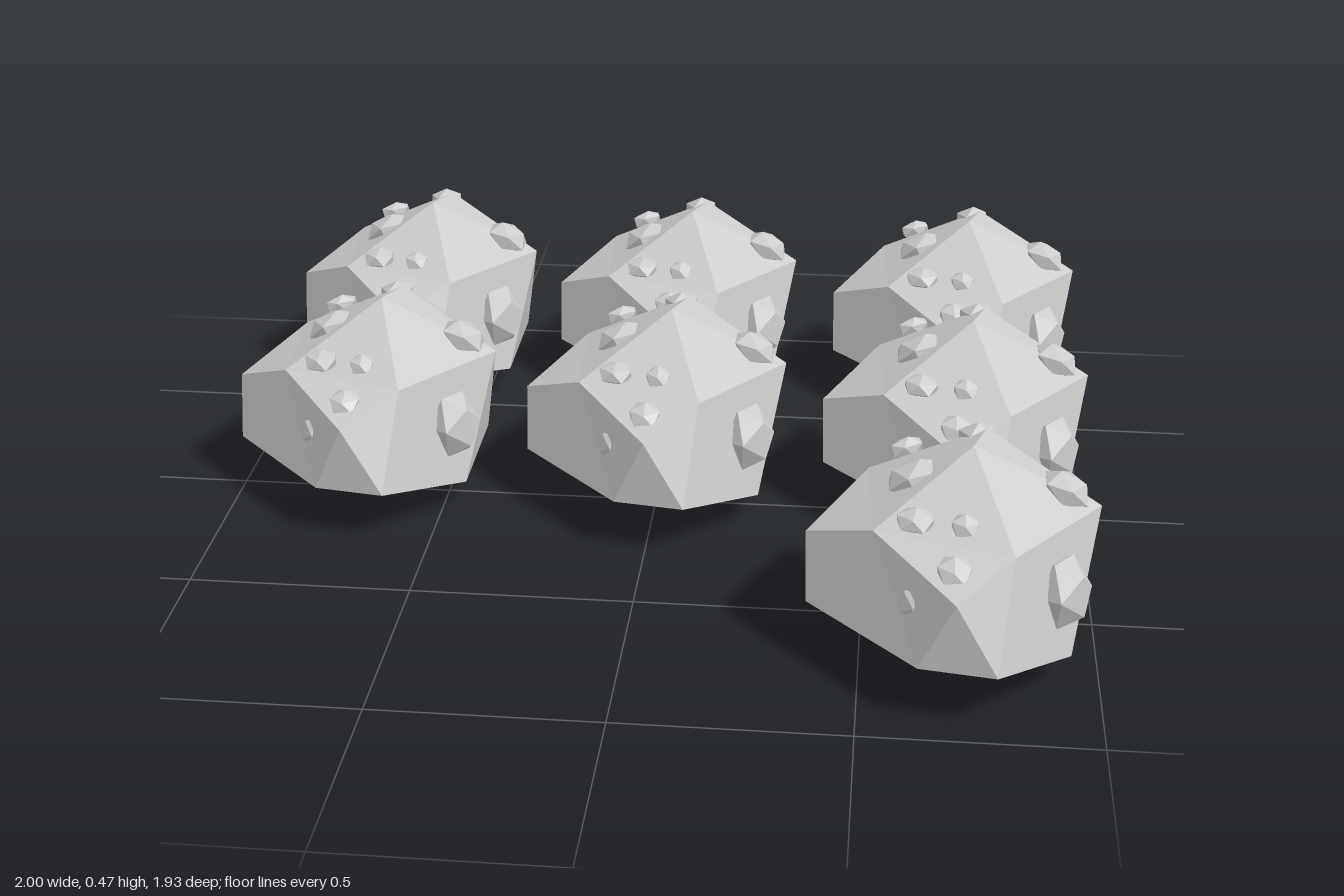
import * as THREE from 'three';

const material = new THREE.MeshStandardMaterial({ color: 0xcccccc, flatShading: true });

// Boulder corners, relative to the point it rests on
const corners = {
  base: [0, 0, 0], top: [0, 0.465, 0], crest: [0.03, 0.45, -0.12],
  // upper ring
  uRight: [0.27, 0.34, 0], uFront: [0.085, 0.34, 0.25], uLeft: [-0.2, 0.34, 0.16],
  uBackLeft: [-0.215, 0.34, -0.13], uBack: [0.1, 0.34, -0.23],
  // lower ring
  lFront: [0.218, 0.07, 0.159], lBack: [0.218, 0.07, -0.159],
  lRear: [-0.09, 0.07, -0.23], lLeft: [-0.275, 0.07, 0],
  // front lobe
  f1: [-0.1, 0.125, 0.335], f2: [0.06, 0.125, 0.36], f3: [-0.03, 0.285, 0.36],
  // side lobe
  s1: [-0.34, 0.27, 0.04], s2: [-0.335, 0.13, 0.09],
};

const faces = [
  // cap
  'top uFront uRight', 'top uLeft uFront', 'top uBackLeft uLeft', 'top crest uBackLeft',
  'crest uBack uBackLeft', 'crest uRight uBack', 'top uRight crest',
  // front lobe
  'uLeft f3 uFront', 'uLeft f1 f3', 'f1 f2 f3', 'f2 uFront f3', 'f2 lFront uFront',
  // right and back
  'lFront uRight uFront', 'lFront lBack uRight', 'lBack uBack uRight', 'lBack lRear uBack',
  'lRear uBackLeft uBack', 'lRear lLeft uBackLeft',
  // side lobe
  'lLeft s1 uBackLeft', 'uBackLeft s1 uLeft', 'lLeft s2 s1', 's2 uLeft s1',
  's2 f1 uLeft', 'lLeft f1 s2',
  // underside
  'lLeft base f1', 'f1 base f2', 'f2 base lFront', 'lFront base lBack',
  'lBack base lRear', 'lRear base lLeft',
];

function boulderGeometry() {
  const positions = faces.flatMap((f) => f.split(' ').flatMap((name) => corners[name]));
  const geometry = new THREE.BufferGeometry();
  geometry.setAttribute('position', new THREE.Float32BufferAttribute(positions, 3));
  geometry.computeVertexNormals();
  return geometry;
}

// Half-sunk pebbles: position, outward direction, [width, length, thickness]
const pebbles = [
  { at: [-0.125, 0.39, 0], out: [-0.5, 1, 0], size: [0.06, 0.06, 0.032] },
  { at: [0.195, 0.375, 0], out: [0.55, 1, 0], size: [0.058, 0.058, 0.035] },
  { at: [0.01, 0.42, -0.135], out: [-0.1, 1, -0.5], size: [0.045, 0.055, 0.035] },
  { at: [-0.135, 0.375, -0.165], out: [-0.4, 1, -0.5], size: [0.045, 0.03, 0.025] },
  { at: [-0.115, 0.365, 0.155], out: [-0.1, 1, 0.45], size: [0.045, 0.035, 0.022] },
  { at: [-0.015, 0.365, 0.17], out: [0, 1, 0.5], size: [0.032, 0.032, 0.022] },
  { at: [-0.035, 0.318, 0.275], out: [0, 1, 0.5], size: [0.04, 0.04, 0.022] },
  { at: [0.195, 0.215, 0.15], out: [0.8, 0.1, 0.6], size: [0.065, 0.085, 0.055] },
  { at: [-0.12, 0.235, 0.26], out: [-0.85, 0.2, 0.5], size: [0.035, 0.04, 0.022] },
  { at: [-0.185, 0.18, -0.14], out: [-0.8, 0.1, -0.6], size: [0.035, 0.035, 0.025] },
];

const bodyGeometry = boulderGeometry();
const pebbleGeometry = new THREE.IcosahedronGeometry(1, 0);

function makeBoulder() {
  const boulder = new THREE.Group();
  boulder.name = 'boulder';
  const body = new THREE.Mesh(bodyGeometry, material);
  body.name = 'boulderBody';
  boulder.add(body);
  for (const { at, out, size } of pebbles) {
    const pebble = new THREE.Mesh(pebbleGeometry, material);
    pebble.name = 'pebble';
    pebble.position.set(...at);
    pebble.lookAt(new THREE.Vector3(...at).add(new THREE.Vector3(...out)));
    pebble.scale.set(...size);
    boulder.add(pebble);
  }
  return boulder;
}

export function createModel() {
  const model = new THREE.Group();
  model.name = 'boulderField';
  // Two full rows of three and a single boulder in front
  const places = [
    [-0.66, -0.735], [0.02, -0.735], [0.73, -0.735],
    [-0.66, -0.07], [0.03, -0.07], [0.73, -0.07],
    [0.72, 0.6],
  ];
  for (const [x, z] of places) {
    const boulder = makeBoulder();
    boulder.position.set(x, 0, z);
    model.add(boulder);
  }
  return model;
}
